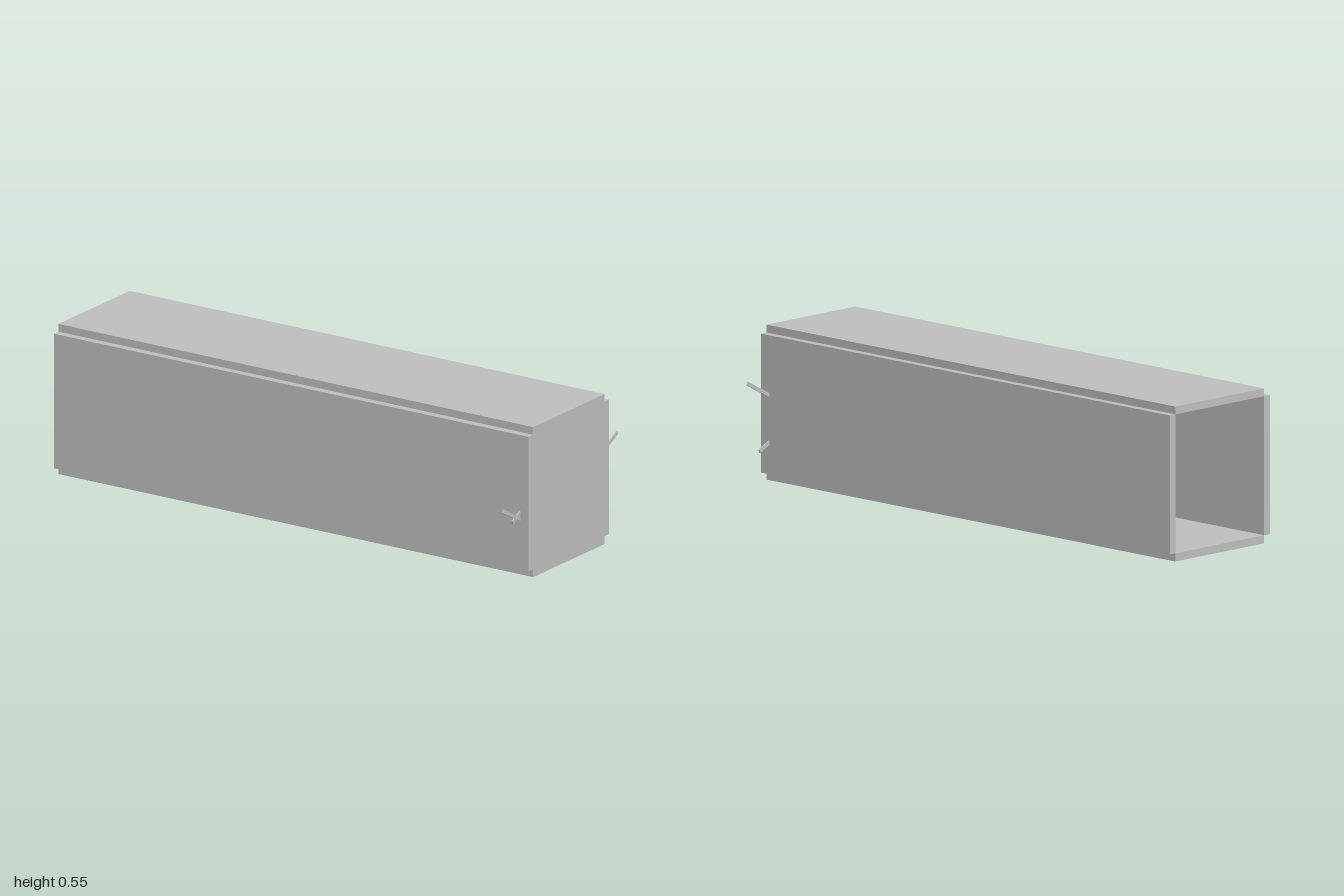
import * as THREE from 'three';

const panelGrey = new THREE.MeshStandardMaterial({ color: 0xc0c0c0 });
panelGrey.name = 'panel grey';

export function createModel() {
  const model = new THREE.Group();
  model.name = 'openEndedBox';

  // Box given by its low and high corners
  function panel(name, [x0, y0, z0], [x1, y1, z1]) {
    const mesh = new THREE.Mesh(new THREE.BoxGeometry(x1 - x0, y1 - y0, z1 - z0), panelGrey);
    mesh.position.set((x0 + x1) / 2, (y0 + y1) / 2, (z0 + z1) / 2);
    mesh.name = name;
    model.add(mesh);
  }

  // Four long panels that meet along their corners, open at -x
  panel('bottomPanel', [-1, 0, -0.219], [1, 0.029, 0.22]);
  panel('topPanel', [-1, 0.522, -0.219], [1, 0.55, 0.22]);
  panel('frontPanel', [-1, 0.029, 0.22], [1, 0.522, 0.248]);
  panel('backPanel', [-1, 0.029, -0.245], [1, 0.522, -0.219]);

  // End panel closing the +x end
  panel('endPanel', [0.972, 0.029, -0.219], [1, 0.522, 0.22]);

  // Thin slanted pins through the long panels, as [z, y] of outer and inner ends
  const pins = [
    ['frontLongPin', [0.352, 0.271], [0.235, 0.208]],
    ['frontShortPin', [0.293, 0.212], [0.235, 0.243]],
    ['backUpperPin', [-0.352, 0.366], [-0.232, 0.303]],
    ['backLowerPin', [-0.292, 0.116], [-0.232, 0.148]],
  ];
  for (const [name, [z0, y0], [z1, y1]] of pins) {
    const length = Math.hypot(z1 - z0, y1 - y0);
    const pin = new THREE.Mesh(new THREE.BoxGeometry(0.005, 0.0135, length), panelGrey);
    pin.position.set(0.962, (y0 + y1) / 2, (z0 + z1) / 2);
    pin.rotation.x = -Math.atan2(y1 - y0, z1 - z0);
    pin.name = name;
    model.add(pin);
  }
  return model;
}
